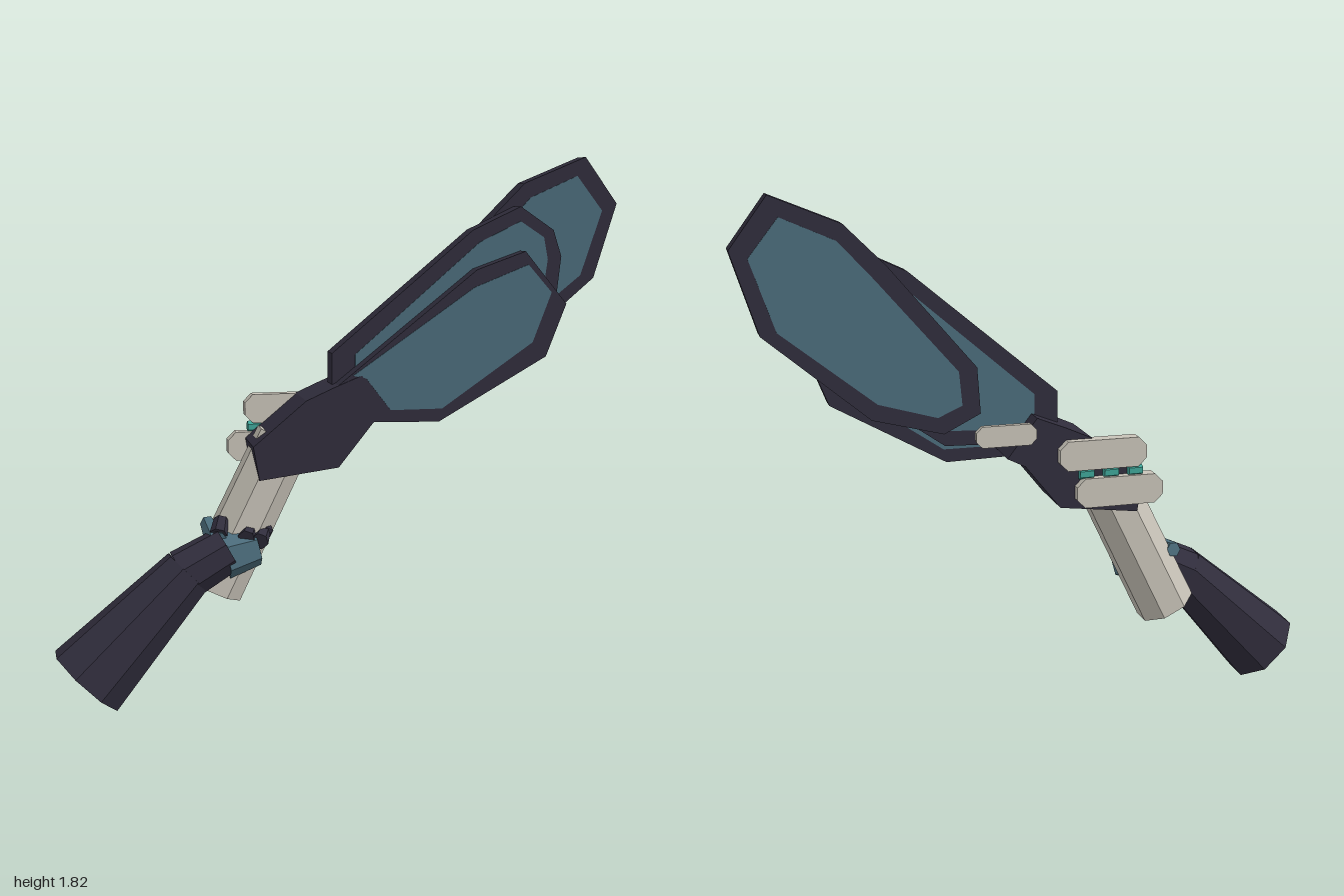
import * as THREE from 'three';

const mat = (name, color) => {
  const m = new THREE.MeshStandardMaterial({ color, flatShading: true });
  m.name = name;
  return m;
};

export function createModel() {
  const model = new THREE.Group();
  const dark = mat('dark violet', 0x302d3c);
  const teal = mat('slate teal', 0x4b6c7b);
  const bone = mat('bone grey', 0xc8c3b8);
  const glow = mat('sea green', 0x3fa598);

  const add = (name, geometry, material, parent = model) => {
    const mesh = new THREE.Mesh(geometry, material);
    mesh.name = name;
    parent.add(mesh);
    return mesh;
  };

  // Flat outline in x and y, extruded between two depths
  const slab = (name, points, z0, z1, material, parent) => {
    const shape = new THREE.Shape(points.map(([x, y]) => new THREE.Vector2(x, y)));
    const g = new THREE.ExtrudeGeometry(shape, { depth: z1 - z0, bevelEnabled: false });
    return add(name, g.translate(0, 0, z0), material, parent);
  };

  // Faceted, tapering rod between two points
  const rod = (name, a, b, ra, rb, material, sides = 8, parent = model) => {
    const p = new THREE.Vector3(...a), q = new THREE.Vector3(...b);
    const dir = q.clone().sub(p);
    const g = new THREE.CylinderGeometry(rb, ra, dir.length(), sides).rotateY(Math.PI / sides);
    const mesh = add(name, g, material, parent);
    mesh.position.copy(p).add(q).multiplyScalar(0.5);
    mesh.quaternion.setFromUnitVectors(new THREE.Vector3(0, 1, 0), dir.normalize());
    return mesh;
  };

  // Three fanned blades, each with an inset panel on both faces
  const blades = [
    {
      name: 'frontBlade', z: [-0.03, 0.03],
      rim: [[-0.05, 1.06], [0.44, 1.45], [0.61, 1.51], [0.76, 1.33], [0.69, 1.15], [0.31, 0.935], [0.085, 0.94]],
      panel: [[0.01, 1.1], [0.43, 1.39], [0.62, 1.465], [0.705, 1.37], [0.64, 1.2], [0.32, 0.98], [0.14, 0.98], [0.055, 1.09]],
    },
    {
      name: 'middleBlade', z: [-0.105, -0.03],
      rim: [[-0.05, 1.06], [-0.05, 1.17], [0.44, 1.58], [0.61, 1.66], [0.73, 1.58], [0.76, 1.49], [0.74, 1.3], [0.33, 1.01], [0, 1]],
      panel: [[0.03, 1.1], [0.03, 1.165], [0.465, 1.54], [0.61, 1.61], [0.695, 1.555], [0.71, 1.48], [0.69, 1.33], [0.32, 1.06], [0.06, 1.05]],
    },
    {
      name: 'rearBlade', z: [-0.185, -0.105],
      rim: [[0.23, 1.13], [0.24, 1.28], [0.52, 1.61], [0.65, 1.74], [0.87, 1.83], [0.99, 1.67], [0.91, 1.41], [0.58, 1.13], [0.35, 1.07]],
      panel: [[0.29, 1.16], [0.3, 1.27], [0.56, 1.57], [0.67, 1.69], [0.84, 1.765], [0.935, 1.645], [0.86, 1.42], [0.56, 1.18], [0.37, 1.125]],
    },
  ];
  for (const { name, z, rim, panel } of blades) {
    const blade = new THREE.Group();
    blade.name = name;
    model.add(blade);
    slab(name + 'Rim', rim, z[0], z[1], dark, blade);
    slab(name + 'FrontPanel', panel, z[1], z[1] + 0.003, teal, blade);
    slab(name + 'BackPanel', panel, z[0] - 0.003, z[0], teal, blade);
  }

  // Angular body that holds the blades
  slab('bladeHolder', [[-0.33, 0.87], [-0.15, 1.02], [-0.06, 1.06], [0.04, 1.1], [0.14, 0.97],
    [0.08, 0.94], [-0.04, 0.79], [-0.31, 0.755]], -0.177, 0.034, dark);

  // Pale handle below the body
  rod('handle', [-0.46, 0.37, -0.07], [-0.21, 0.88, -0.07], 0.105, 0.1, bone);

  // Chamfered plates on the back
  const plate = (name, x0, x1, y0, y1, z0, z1) => {
    const c = (y1 - y0) * 0.28;
    slab(name, [[x0 + c, y0], [x1 - c, y0], [x1, y0 + c], [x1, y1 - c], [x1 - c, y1],
      [x0 + c, y1], [x0, y1 - c], [x0, y0 + c]], z0, z1, bone);
  };
  plate('upperBackPlate', -0.33, -0.03, 0.92, 1.02, -0.205, -0.16);
  plate('lowerBackPlate', -0.39, -0.09, 0.79, 0.89, -0.205, -0.16);
  plate('smallBackPlate', 0.05, 0.25, 1.02, 1.09, -0.207, -0.188);

  // Glowing studs between the plates
  for (let i = 0; i < 3; i++) {
    const x = -0.295 + i * 0.085;
    rod('glowStud', [x - 0.024, 0.905, -0.185], [x + 0.024, 0.905, -0.185], 0.02, 0.02, glow, 6);
  }

  // Forearm sleeve, wrist and gripping hand
  rod('sleeve', [-0.9, 0.113, 0.065], [-0.555, 0.457, 0.03], 0.145, 0.09, dark);
  rod('wrist', [-0.57, 0.445, 0.03], [-0.42, 0.525, 0.02], 0.09, 0.08, dark);
  rod('palm', [-0.43, 0.5, 0.02], [-0.32, 0.525, 0.01], 0.08, 0.065, teal, 6);
  rod('thumb', [-0.455, 0.55, 0.04], [-0.47, 0.585, -0.12], 0.04, 0.026, teal, 6);
  rod('thumbJoint', [-0.45, 0.58, 0.03], [-0.435, 0.62, -0.01], 0.03, 0.025, dark, 6);
  for (let i = 0; i < 2; i++) {
    const x = -0.33 + i * 0.045, y = 0.585 - i * 0.012;
    rod('finger', [x - 0.03, y - 0.02, 0.055], [x, y, -0.03], 0.03, 0.022, dark, 6);
    add('fingertip', new THREE.IcosahedronGeometry(0.03, 0), dark).position.set(x, y, -0.02);
  }

  return model;
}
